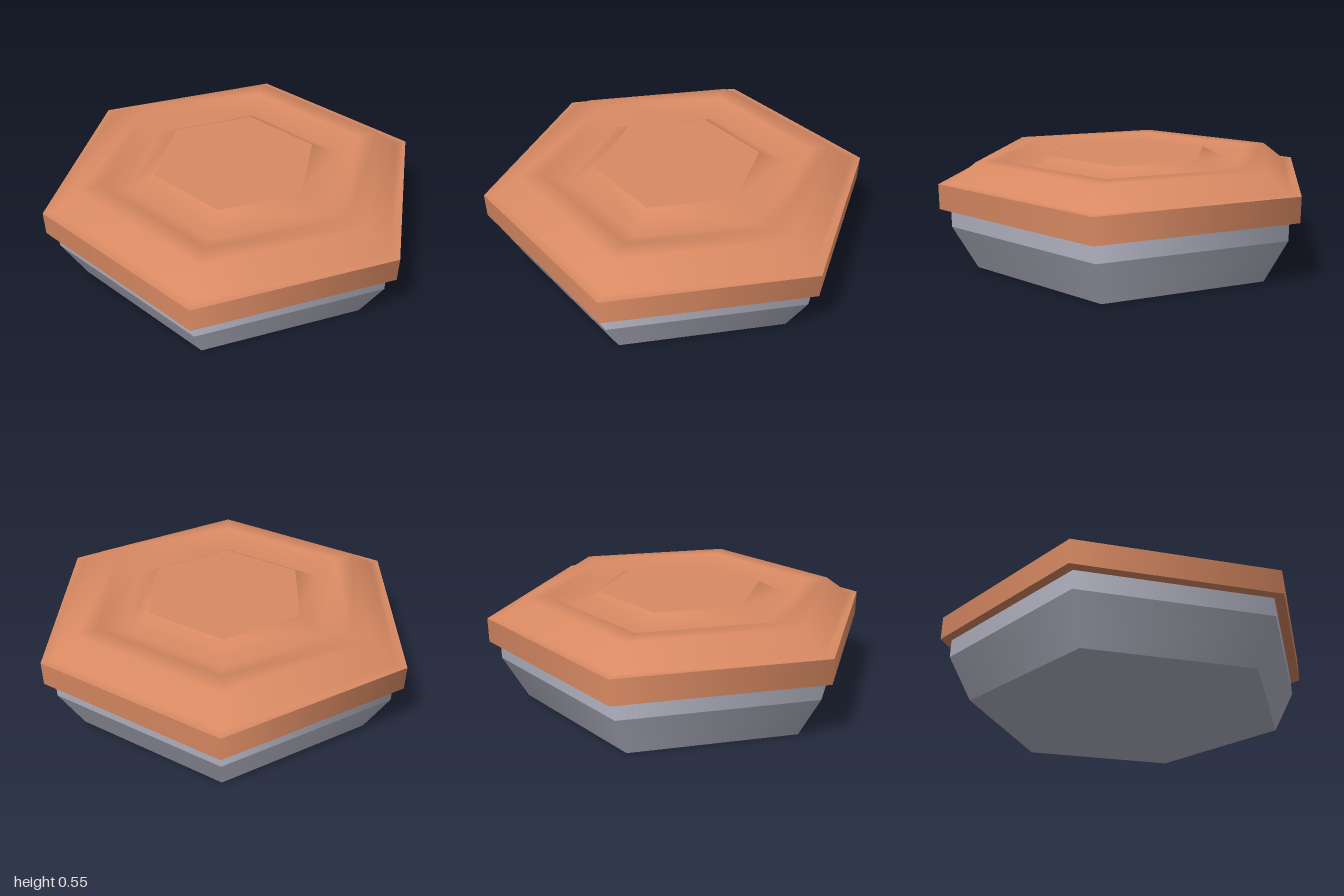
import * as THREE from 'three';

const SIDES = 6;

export function createModel() {
  const group = new THREE.Group();
  const copper = new THREE.MeshStandardMaterial({ color: 0xd98a63 });
  copper.name = 'copper';
  const steel = new THREE.MeshStandardMaterial({ color: 0xb4b4c4 });
  steel.name = 'steel';

  const add = (name, geometry, material, y = 0) => {
    const mesh = new THREE.Mesh(geometry, material);
    mesh.name = name;
    mesh.position.y = y;
    group.add(mesh);
    return mesh;
  };
  // Hexagonal band with corners on +z and -z
  const band = (name, rTop, rBottom, y0, y1, material) =>
    add(name, new THREE.CylinderGeometry(rTop, rBottom, y1 - y0, SIDES, 1, true), material, (y0 + y1) / 2);
  // Flat hexagon facing up or down
  const plate = (name, radius, y, material, up) => {
    const g = new THREE.CircleGeometry(radius, SIDES, Math.PI / 2);
    add(name, g.rotateX(up ? -Math.PI / 2 : Math.PI / 2), material, y);
  };

  // Lower body
  plate('baseFloor', 0.825, 0, steel, false);
  band('baseFlare', 0.945, 0.825, 0, 0.225, steel);
  band('baseCollar', 0.945, 0.945, 0.225, 0.32, steel);

  // Overhanging rim
  plate('rimUnderside', 1, 0.32, copper, false);
  band('rim', 1, 1, 0.32, 0.445, copper);

  // Softly shaded lid with a bevel, a raised ring and a moat around the centre
  const profile = [
    [1, 0.445], [0.945, 0.445], [0.815, 0.54], [0.7, 0.54], [0.565, 0.475], [0.43, 0.545],
  ].map(([r, y]) => new THREE.Vector2(r, y));
  add('lid', new THREE.LatheGeometry(profile, SIDES), copper);
  plate('lidCentre', 0.43, 0.545, copper, true);

  return group;
}
